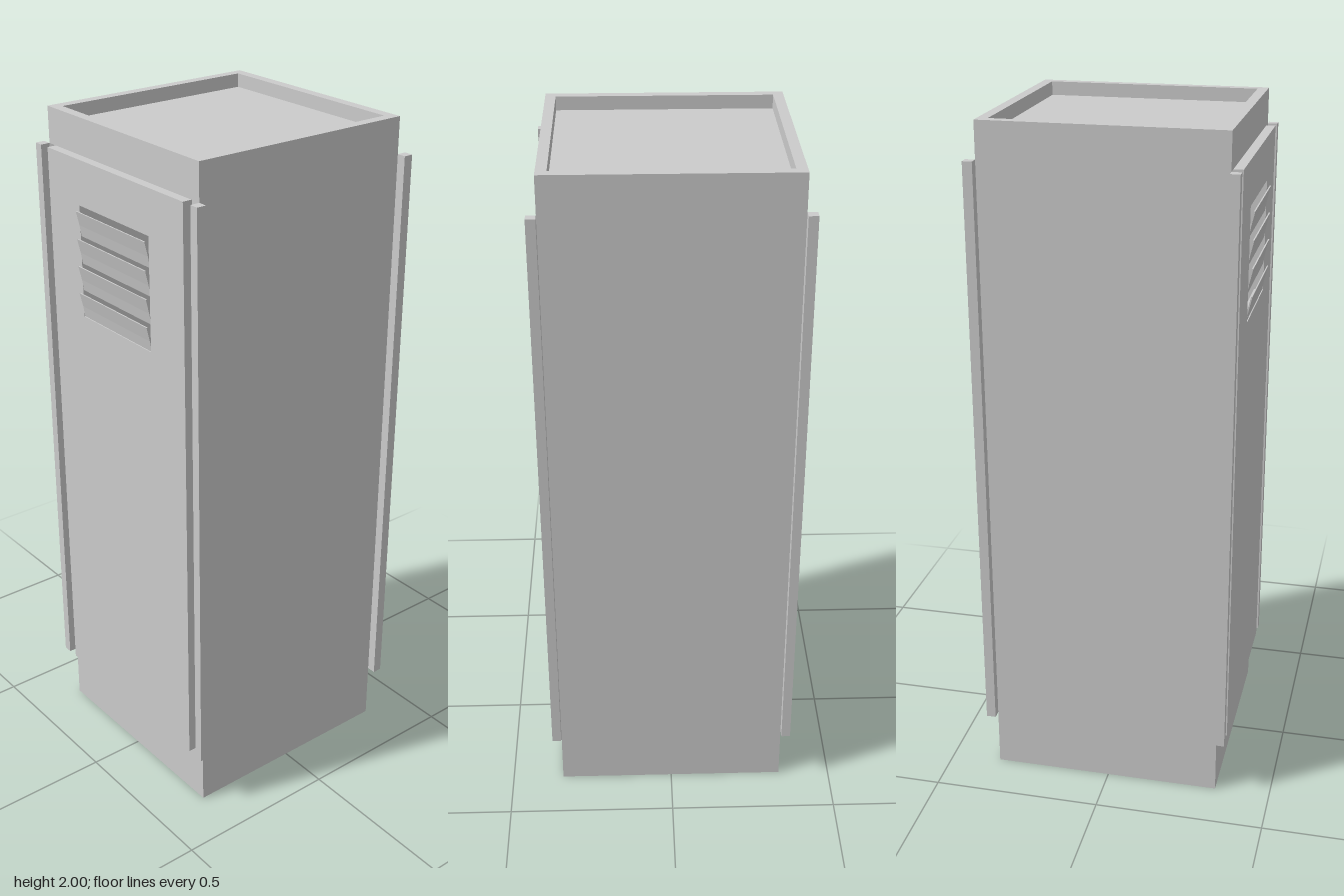
import * as THREE from 'three';

const material = new THREE.MeshStandardMaterial({ color: 0xcccccc, flatShading: true });

export function createModel() {
  const model = new THREE.Group();
  const add = (name, geometry, parent = model) => {
    const mesh = new THREE.Mesh(geometry, material);
    mesh.name = name;
    parent.add(mesh);
    return mesh;
  };
  // Box given by its limits on each axis
  const box = (name, [x0, x1], [y0, y1], [z0, z1], parent) =>
    add(name, new THREE.BoxGeometry(x1 - x0, y1 - y0, z1 - z0), parent)
      .position.set((x0 + x1) / 2, (y0 + y1) / 2, (z0 + z1) / 2);

  const outer = 0.343, inner = 0.313;
  const back = -0.35, front = 0.335, wall = 0.03;
  const doorBottom = 0.175, doorTop = 1.895;

  // Hollow cabinet shell
  const cabinet = new THREE.Group();
  cabinet.name = 'cabinet';
  model.add(cabinet);
  box('backWall', [-inner, inner], [0, 2], [back, back + wall], cabinet);
  box('leftWall', [inner, outer], [0, 2], [back, front], cabinet);
  box('rightWall', [-outer, -inner], [0, 2], [back, front - wall], cabinet);
  box('lowerFront', [-inner, inner], [0, doorBottom], [front - wall, front], cabinet);
  box('upperFront', [-inner, inner], [doorTop, 2], [front - wall, front], cabinet);
  box('lowerCorner', [-outer, -inner], [0, doorBottom], [front - wall, front], cabinet);
  box('upperCorner', [-outer, -inner], [doorTop, 2], [front - wall, front], cabinet);

  // Recessed panels closing the shell
  box('topPanel', [-inner, inner], [1.93, 1.96], [back + wall, front - wall], cabinet);
  box('bottomPanel', [-inner, inner], [0.05, 0.08], [back + wall, front - wall], cabinet);

  // Slanted jamb on the hinge side
  const jamb = new THREE.Shape([
    new THREE.Vector2(-outer, -(front - wall)),
    new THREE.Vector2(-inner, -(front - wall)),
    new THREE.Vector2(-outer, -front),
  ]);
  const jambGeometry = new THREE.ExtrudeGeometry(jamb, { depth: doorTop - doorBottom, bevelEnabled: false });
  jambGeometry.rotateX(-Math.PI / 2).translate(0, doorBottom, 0);
  add('hingeJamb', jambGeometry, cabinet);

  // Door with a vent opening
  const door = new THREE.Group();
  door.name = 'door';
  model.add(door);
  const rect = (Type, x, y0, y1) => new Type([
    new THREE.Vector2(-x, y0), new THREE.Vector2(x, y0),
    new THREE.Vector2(x, y1), new THREE.Vector2(-x, y1),
  ]);
  const panel = rect(THREE.Shape, 0.311, doorBottom, doorTop);
  panel.holes.push(rect(THREE.Path, 0.161, 1.437, 1.765));
  const panelGeometry = new THREE.ExtrudeGeometry(panel, { depth: 0.027, bevelEnabled: false });
  add('doorPanel', panelGeometry.translate(0, 0, front), door);

  // Bent vent slats, each flaring outward at its top; the profile runs in z and y
  const t = 0.004;
  const profile = new THREE.Shape([
    [0.375, -0.013], [0.365, -0.055], [0.359, -0.088],
    [0.359 - t, -0.088], [0.365 - t, -0.055], [0.375 - t, -0.013],
  ].map(([z, y]) => new THREE.Vector2(-z, y)));
  const slatGeometry = new THREE.ExtrudeGeometry(profile, { depth: 0.322, bevelEnabled: false });
  slatGeometry.rotateY(Math.PI / 2).translate(-0.161, 0, 0);
  for (let i = 0; i < 4; i++) {
    add('ventSlat', slatGeometry, door).position.y = 1.764 - i * 0.08;
  }

  // Corner strips touching the four upright edges
  for (const side of [-1, 1]) {
    const x = side * (outer + 0.0135);
    for (const z of [front + 0.014, back - 0.014]) {
      const strip = add('cornerStrip', new THREE.BoxGeometry(0.027, 1.72, 0.028));
      strip.position.set(x, 1.035, z);
    }
  }
  return model;
}
